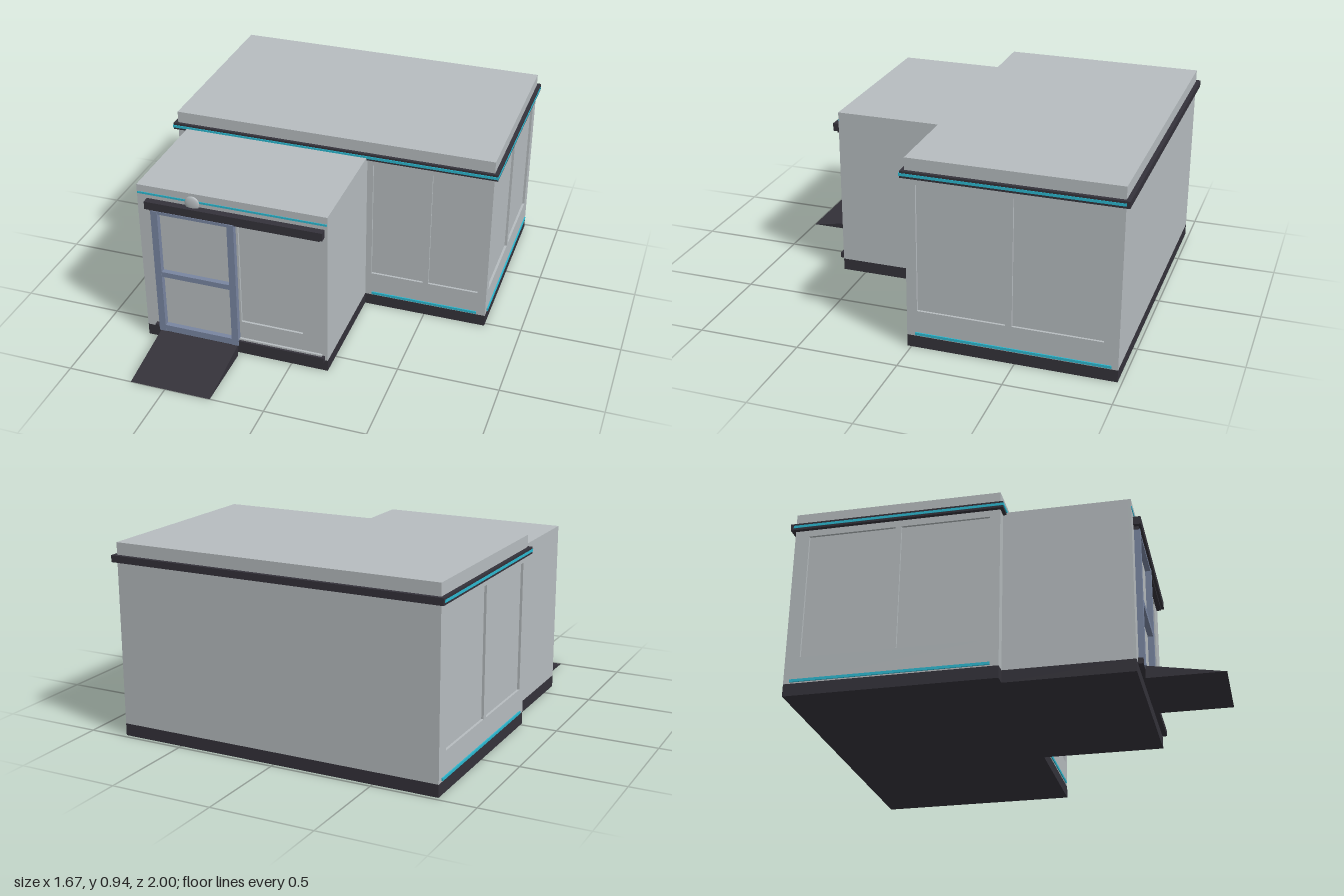
import * as THREE from 'three';

const material = (name, color) => {
  const m = new THREE.MeshStandardMaterial({ color });
  m.name = name;
  return m;
};

export function createModel() {
  const model = new THREE.Group();
  model.name = 'building';
  const wall = material('wall grey', 0xb6bcbf);
  const dark = material('dark trim', 0x34323a);
  const frame = material('door frame blue', 0x7885a0);
  const cyan = material('cyan light', 0x2cb8d0);

  const add = (name, geometry, mat) => {
    const mesh = new THREE.Mesh(geometry, mat);
    mesh.name = name;
    model.add(mesh);
    return mesh;
  };
  // Box given by its limits on each axis
  const box = (name, mat, [x0, x1], [y0, y1], [z0, z1]) => {
    const mesh = add(name, new THREE.BoxGeometry(x1 - x0, y1 - y0, z1 - z0), mat);
    mesh.position.set((x0 + x1) / 2, (y0 + y1) / 2, (z0 + z1) / 2);
    return mesh;
  };
  // Thin wall skin with rectangular openings that read as recessed panels
  const T = 0.012;
  const skin = (name, x0, x1, y0, y1, openings) => {
    const rect = (Type, a, b, c, d) => new Type([
      new THREE.Vector2(a, c), new THREE.Vector2(b, c),
      new THREE.Vector2(b, d), new THREE.Vector2(a, d),
    ]);
    const shape = rect(THREE.Shape, x0, x1, y0, y1);
    openings.forEach((o) => shape.holes.push(rect(THREE.Path, ...o)));
    return add(name, new THREE.ExtrudeGeometry(shape, { depth: T, bevelEnabled: false }), wall);
  };

  // Main block
  box('mainFoundation', dark, [-0.815, 0.815], [0, 0.06], [-0.98, 0.02]);
  box('mainBlock', wall, [-0.815 + T, 0.815 - T], [0.06, 0.945], [-0.98, 0.02 - T]);
  skin('mainFrontWall', -0.815, 0.815, 0.06, 0.945,
    [[0.215, 0.485, 0.19, 0.82], [0.515, 0.77, 0.19, 0.82]]).position.z = 0.02 - T;
  for (const s of [1, -1]) {
    const side = s > 0 ? 'left' : 'right';
    const span = (a, b) => (s > 0 ? [-b, -a] : [a, b]);
    const wallMesh = skin(side + 'Wall', ...span(-0.98, 0.02 - T), 0.06, 0.945, [
      [...span(-0.91, -0.485), 0.19, 0.82],
      [...span(-0.455, -0.03), 0.19, 0.82],
    ]);
    wallMesh.rotation.y = s * Math.PI / 2;
    wallMesh.position.x = s * (0.815 - T);
    // Side light strips
    const xs = (a, b) => (s > 0 ? [a, b] : [-b, -a]);
    box(side + 'LowerLight', cyan, xs(0.81, 0.821), [0.066, 0.079], [-0.95, -0.02]);
    box(side + 'CorniceLight', cyan, xs(0.81, 0.836), [0.863, 0.876], [-0.985, 0.038]);
  }
  box('frontLowerLight', cyan, [0.22, 0.77], [0.066, 0.079], [0.015, 0.026]);

  // Cornice: two dark bands with a light between them, plain at the back
  for (const [name, y0, y1] of [['lowerCornice', 0.853, 0.863], ['upperCornice', 0.876, 0.886]]) {
    box(name, dark, [-0.834, 0.834], [y0, y1], [-1, 0.036]);
  }
  box('frontCorniceLight', cyan, [-0.836, 0.836], [0.863, 0.876], [0.01, 0.04]);
  box('backCornice', dark, [-0.834, 0.834], [0.863, 0.876], [-1, -0.975]);

  // Entrance block
  box('entranceFoundation', dark, [-0.76, 0.185], [0, 0.06], [0.02, 0.62]);
  box('entranceBlock', wall, [-0.76, 0.185], [0.06, 0.866], [0.02, 0.62 - T]);
  skin('entranceFrontWall', -0.76, 0.185, 0.06, 0.866,
    [[-0.255, 0.06, 0.19, 0.74]]).position.z = 0.62 - T;
  box('entranceLight', cyan, [-0.757, 0.182], [0.82, 0.83], [0.615, 0.623]);

  // Awning and sill
  box('awning', dark, [-0.71, 0.172], [0.76, 0.8], [0.618, 0.656]);
  box('awningUnderside', dark, [-0.69, 0.155], [0.746, 0.76], [0.618, 0.643]);
  box('sill', dark, [-0.71, 0.172], [0.058, 0.086], [0.618, 0.643]);
  box('sillCap', wall, [-0.265, 0.158], [0.086, 0.095], [0.618, 0.632]);

  // Door frame
  for (const x of [-0.668, -0.282]) {
    box('doorPost', frame, [x - 0.017, x + 0.017], [0.06, 0.75], [0.618, 0.648]);
  }
  for (const [y0, y1] of [[0.06, 0.095], [0.383, 0.41], [0.735, 0.75]]) {
    box('doorRail', frame, [-0.652, -0.298], [y0, y1], [0.618, 0.646]);
  }

  // Round lamp above the door
  const lamp = add('roundLamp', new THREE.SphereGeometry(0.037, 24, 16), wall);
  lamp.scale.z = 0.3;
  lamp.position.set(-0.475, 0.82, 0.629);

  // Entrance ramp
  const profile = new THREE.Shape([
    new THREE.Vector2(-1, 0), new THREE.Vector2(-0.647, 0), new THREE.Vector2(-0.647, 0.06),
  ]);
  const ramp = add('ramp',
    new THREE.ExtrudeGeometry(profile, { depth: 0.408, bevelEnabled: false }), dark);
  ramp.rotation.y = Math.PI / 2;
  ramp.position.x = -0.678;

  return model;
}
